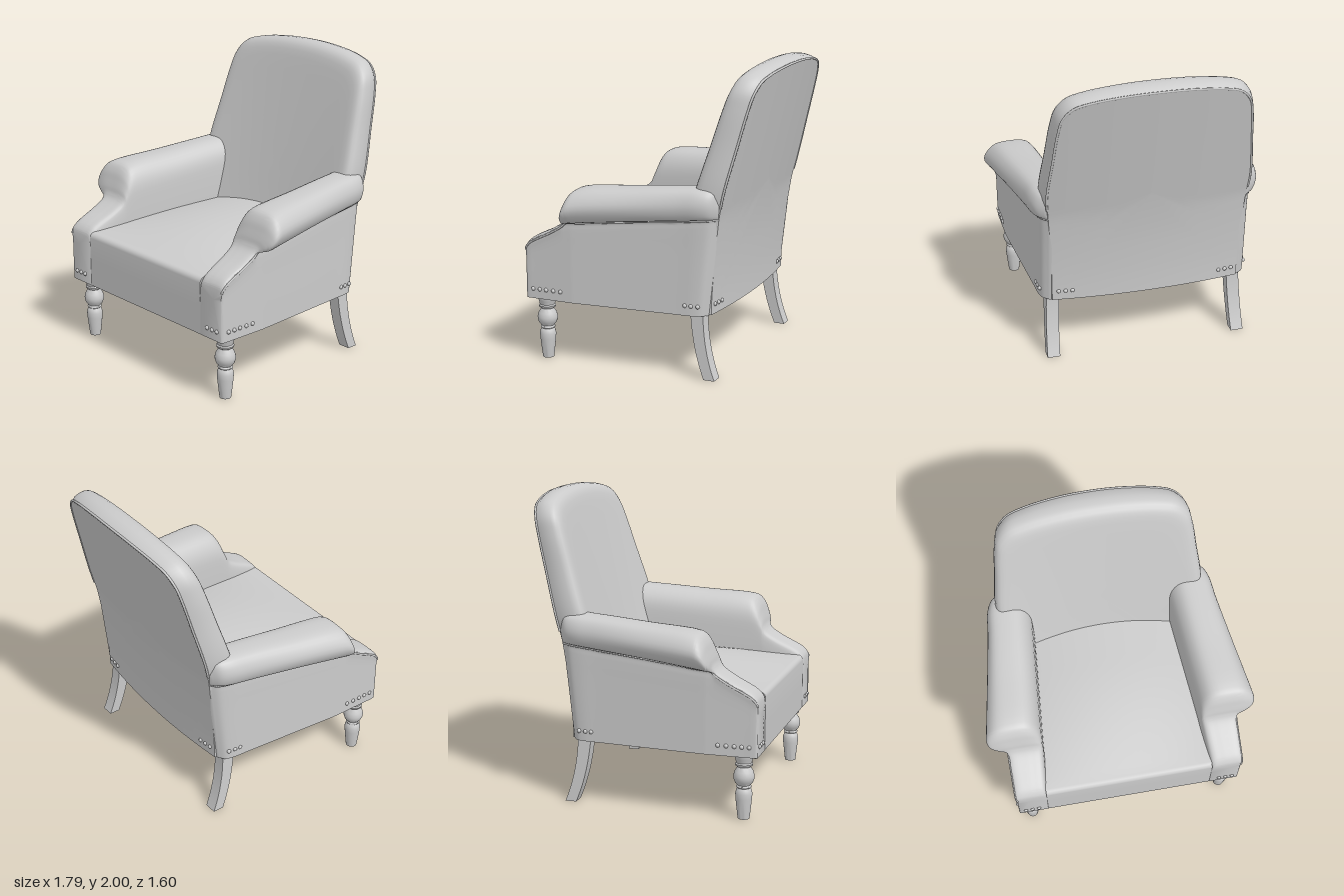
import * as THREE from 'three';
import { toCreasedNormals } from 'three/addons/utils/BufferGeometryUtils.js';

const V = (x, y, z) => new THREE.Vector3(x, y, z);
const material = new THREE.MeshStandardMaterial({ color: 0xcccccc });

// Skin closed rings of equal length, cap both ends, and face outward.
function loft(rings, crease = 0.9) {
  const n = rings[0].length, pos = [], tris = [];
  rings.forEach(r => r.forEach(p => pos.push(p)));
  for (let i = 0; i < rings.length - 1; i++) {
    for (let j = 0; j < n; j++) {
      const a = i * n + j, b = i * n + (j + 1) % n;
      tris.push([a, b, b + n], [a, b + n, a + n]);
    }
  }
  [0, rings.length - 1].forEach(i => {
    const c = pos.length;
    pos.push(rings[i].reduce((s, p) => s.add(p), V(0, 0, 0)).divideScalar(n));
    for (let j = 0; j < n; j++) {
      const a = i * n + j, b = i * n + (j + 1) % n;
      tris.push(i === 0 ? [c, b, a] : [c, a, b]);
    }
  });
  let volume = 0;
  const cross = V(0, 0, 0);
  tris.forEach(([a, b, c]) => { volume += pos[a].dot(cross.crossVectors(pos[b], pos[c])); });
  if (volume < 0) tris.forEach(t => t.reverse());
  const geo = new THREE.BufferGeometry().setFromPoints(pos);
  geo.setIndex(tris.flat());
  return toCreasedNormals(geo, crease);
}

function add(parent, name, geo, x = 0, y = 0, z = 0) {
  const mesh = new THREE.Mesh(geo, material);
  mesh.name = name;
  mesh.position.set(x, y, z);
  parent.add(mesh);
}

const tube = (points, radius) =>
  new THREE.TubeGeometry(new THREE.CatmullRomCurve3(points), points.length * 3, radius, 6);

const outerX = z => 0.768 - 0.07 * Math.max(0, 0.45 - z) / 0.9;
const innerX = z => 0.47 + 0.083 * (z + 0.3);

// Backrest faces: raked, concave at the front and bowed at the rear.
const frontZ = (x, y) => -0.255 - 0.3 * (y - 0.85)
  - (0.045 - 0.028 * Math.max(0, y - 0.9)) * (1 - (x / 0.62) ** 2);
const rearZ = (x, y) => 0.042 * (x / 0.64) ** 2
  + (y < 1.07 ? -0.51 - 0.065 * (Math.max(0, y - 0.42) / 0.65) ** 1.6 : -0.575 - 0.245 * (y - 1.07));

function buildBack(group) {
  const half = [[0.66, 0.42], [0.665, 0.75], [0.685, 1.05], [0.697, 1.23], [0.667, 1.52], [0.642, 1.74],
    [0.615, 1.85], [0.55, 1.925], [0.44, 1.962], [0.22, 1.992]];
  const pts = [...half, [0, 2], ...half.slice().reverse().map(([x, y]) => [-x, y])];
  const outline = new THREE.CatmullRomCurve3(pts.map(([x, y]) => V(x, y, 0))).getPoints(100);
  for (let i = 1; i < 16; i++) outline.push(V(-0.66 + 1.32 * i / 16, 0.42, 0));

  // [scale about the middle, depth from front 0 to rear 1]
  const rim = 0.957;
  const layers = [[0.02, 0], [0.2, 0], [0.4, 0], [0.6, 0], [0.75, 0], [0.86, 0], [0.915, 0.01], [0.95, 0.04],
    [0.975, 0.1], [0.992, 0.2], [1, 0.34], [0.998, 0.55], [0.985, 0.8], [rim, 1],
    [0.85, 1], [0.7, 1], [0.5, 1], [0.3, 1], [0.02, 1]];
  const warp = (p, s, t) => {
    const sy = p.y < 1.2 ? Math.min(1, s / rim) : s;
    const x = p.x * s, y = 1.2 + (p.y - 1.2) * sy;
    return V(x, y, THREE.MathUtils.lerp(frontZ(x, y), rearZ(x, y), t));
  };
  add(group, 'backrest', loft(layers.map(([s, t]) => outline.map(p => warp(p, s, t)))));
  const seam = outline.filter(p => p.y > 1.1).map(p => warp(p, rim + 0.003, 0.99));
  add(group, 'backPiping', tube(seam, 0.008));
}

// Arm stations front to rear: [z, top, underside of roll, roll amount, inset]
const stations = [
  [0.79, 0.765, 0.745, 0, 0.008], [0.784, 0.785, 0.762, 0, 0.003], [0.76, 0.815, 0.79, 0, 0],
  [0.72, 0.842, 0.815, 0, 0], [0.6, 0.9, 0.875, 0, 0], [0.525, 0.95, 0.92, 0, 0],
  [0.503, 0.985, 0.94, 0.12, 0], [0.492, 1.025, 0.95, 0.5, 0], [0.477, 1.07, 0.953, 0.8, 0],
  [0.457, 1.125, 0.955, 0.94, 0], [0.425, 1.17, 0.957, 1, 0], [0.385, 1.188, 0.96, 1, 0],
  [0.05, 1.213, 0.995, 1, 0], [-0.26, 1.238, 1.025, 1, 0], [-0.37, 1.245, 1.04, 1, 0],
  [-0.42, 1.235, 1.045, 0.85, 0.012], [-0.455, 1.195, 1.045, 0.5, 0.05]];

function armSection([z, top, under, roll, inset], side) {
  const xi = innerX(z) + inset, xo = outerX(z) - inset;
  const out = roll * (0.13 - 0.085 * (0.42 - z) / 0.9), xr = xo + out, h = top - under;
  const lean = 0.11 * Math.max(0, (-0.2 - z) / 0.255);
  return [[xi, 0.42], [xi, 0.6], [xi, under - 0.04], [xi + 0.018, under + 0.55 * h], [xi + 0.08, under + 0.93 * h],
    [(xi + xr) / 2 + 0.02, top], [xr - 0.3 * out - 0.02, under + 0.9 * h], [xr, under + 0.5 * h],
    [xo + 0.65 * out, under + 0.1 * h], [xo + 0.003, under], [xo, under - 0.05], [xo, 0.6], [xo, 0.42]]
    .map(([x, y]) => V(side * x, y, z - lean * (y - 0.42)));
}

function buildArm(group, side) {
  const sections = stations.map(s => armSection(s, side));
  const lines = sections[0].map((_, j) => new THREE.CatmullRomCurve3(sections.map(s => s[j])).getPoints(80));
  const rings = lines[0].map((_, i) => new THREE.CatmullRomCurve3(lines.map(l => l[i])).getPoints(48));
  const label = side > 0 ? 'left' : 'right';
  add(group, label + 'Arm', loft(rings));
  add(group, label + 'ArmPiping', tube(lines[9].filter((_, i) => i % 2 === 0), 0.007));
}

// Seat: crowned cushion with a rounded front edge running into the front panel
function buildSeat(group) {
  const rings = [];
  for (let i = 0; i <= 28; i++) {
    const x = -0.565 + 1.13 * i / 28, crown = 1 - (x / 0.565) ** 2;
    const ring = [V(x, 0.42, -0.42), V(x, 0.42, 0.789), V(x, 0.6, 0.789)];
    for (let a = 0; a <= 6; a++) {
      const q = a / 6 * Math.PI / 2;
      ring.push(V(x, 0.76 + 0.035 * Math.sin(q), 0.754 + 0.035 * Math.cos(q)));
    }
    for (let k = 1; k <= 20; k++) {
      const t = k / 20, rise = Math.sin(Math.min(1, t * 1.5) * Math.PI / 2);
      ring.push(V(x, 0.795 + rise * (0.025 + 0.075 * crown), 0.754 - 1.174 * t));
    }
    rings.push(ring);
  }
  add(group, 'seat', loft(rings, 0.7));
}

function buildUnderside(group) {
  const shape = new THREE.Shape();
  shape.moveTo(-0.755, 0.78);
  shape.lineTo(0.755, 0.78);
  shape.lineTo(0.65, -0.45);
  shape.quadraticCurveTo(0, -0.55, -0.65, -0.45);
  const geo = new THREE.ExtrudeGeometry(shape, { depth: 0.03, bevelEnabled: false });
  geo.rotateX(Math.PI / 2);
  add(group, 'underside', geo, 0, 0.445, 0);
}

function buildLegs(group) {
  // Turned front leg
  const profile = [[0, 0], [0.037, 0], [0.042, 0.04], [0.052, 0.13], [0.054, 0.165], [0.048, 0.19], [0.04, 0.2],
    [0.048, 0.206], [0.048, 0.214], [0.042, 0.22], [0.058, 0.24], [0.066, 0.262], [0.067, 0.28], [0.06, 0.308],
    [0.046, 0.33], [0.042, 0.338], [0.055, 0.348], [0.057, 0.358], [0.05, 0.366], [0.056, 0.39], [0.062, 0.405],
    [0.062, 0.44]];
  const turned = toCreasedNormals(
    new THREE.LatheGeometry(profile.map(([r, y]) => new THREE.Vector2(r, y)), 28), 0.8);

  // Sabre-shaped rear leg
  const sabre = new THREE.Shape();
  sabre.moveTo(-0.338, 0.44);
  sabre.quadraticCurveTo(-0.355, 0.2, -0.438, 0);
  sabre.lineTo(-0.512, 0);
  sabre.quadraticCurveTo(-0.43, 0.2, -0.425, 0.44);

  [1, -1].forEach(side => {
    const label = side > 0 ? 'left' : 'right';
    add(group, label + 'FrontLeg', turned, side * 0.68, 0, 0.685);
    const geo = new THREE.ExtrudeGeometry(sabre, { depth: 0.085, bevelEnabled: false, curveSegments: 10 });
    geo.rotateY(-Math.PI / 2);
    geo.translate(0.0425, 0, 0);
    const p = geo.attributes.position;
    for (let i = 0; i < p.count; i++) p.setX(i, p.getX(i) + side * 0.02 * (1 - p.getY(i) / 0.44));
    add(group, label + 'RearLeg', toCreasedNormals(geo, 0.6), side * 0.62, 0, 0);
  });
}

// Upholstery nails around the four lower corners
function buildNails(group) {
  const nails = new THREE.Group();
  nails.name = 'nails';
  group.add(nails);
  const head = new THREE.SphereGeometry(0.014, 10, 8), y = 0.485;
  [1, -1].forEach(side => {
    [0.63, 0.675, 0.72].forEach(x => add(nails, 'nail', head, side * x, y, 0.79));
    [0.738, 0.69, 0.643, 0.59, 0.537, -0.32, -0.36, -0.405]
      .forEach(z => add(nails, 'nail', head, side * outerX(z), y, z));
    [0.5, 0.545, 0.59].forEach(x => add(nails, 'nail', head, side * x, y, rearZ(x, y)));
  });
}

export function createModel() {
  const group = new THREE.Group();
  group.name = 'armchair';
  buildBack(group);
  [1, -1].forEach(side => buildArm(group, side));
  buildSeat(group);
  buildUnderside(group);
  buildLegs(group);
  buildNails(group);
  return group;
}
